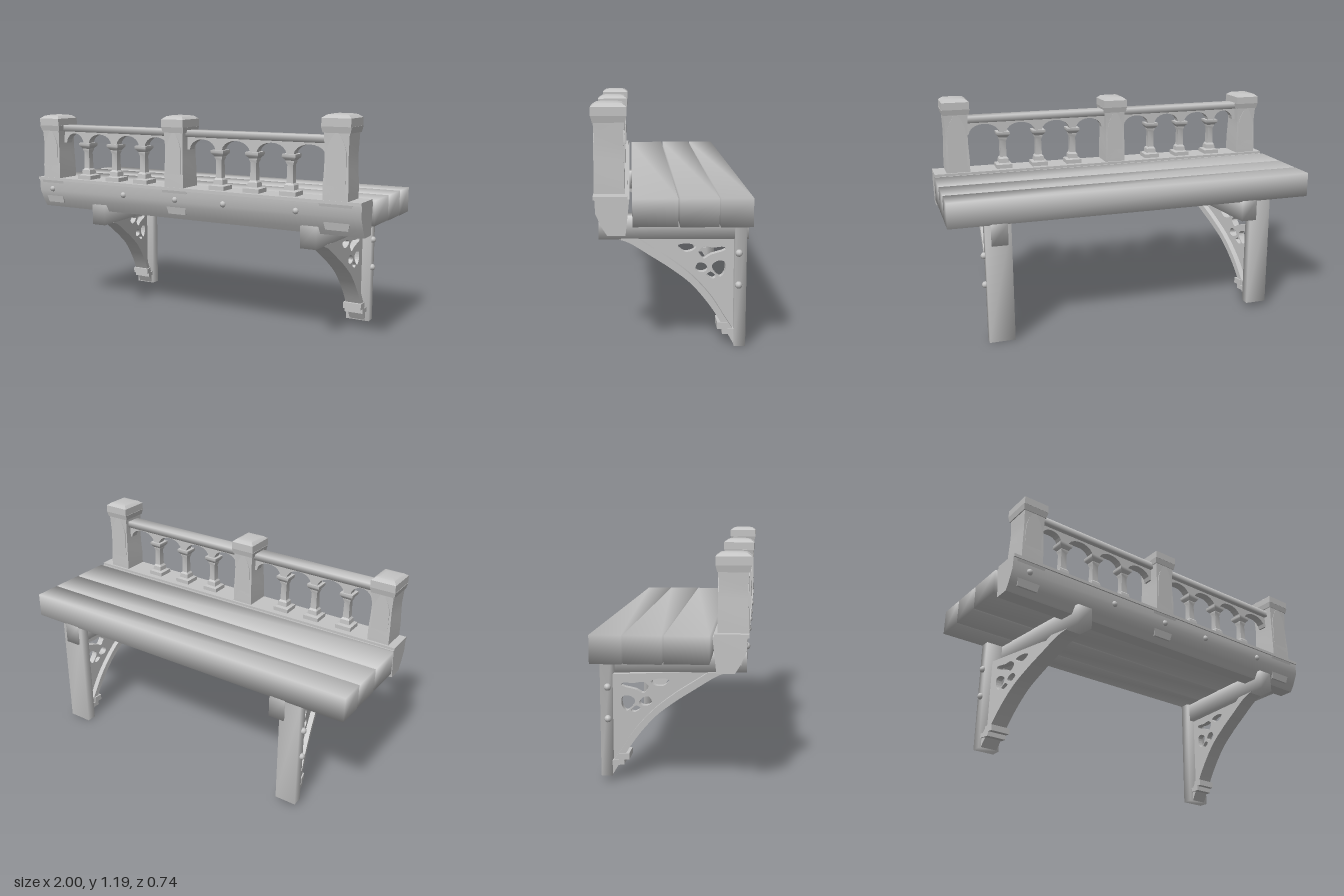
import * as THREE from 'three';
import { mergeVertices, toCreasedNormals } from 'three/addons/utils/BufferGeometryUtils.js';

const stone = new THREE.MeshStandardMaterial({ color: 0xc4c4c4 });
stone.name = 'pale grey stone';

function add(parent, name, geometry, x = 0, y = 0, z = 0) {
  const mesh = new THREE.Mesh(geometry, stone);
  mesh.name = name;
  mesh.position.set(x, y, z);
  parent.add(mesh);
  return mesh;
}

// Share corner normals so a block shades softly
function soften(geometry) {
  geometry.deleteAttribute('normal');
  geometry.deleteAttribute('uv');
  const merged = mergeVertices(geometry);
  merged.computeVertexNormals();
  return merged;
}
const softBox = (w, h, d) => soften(new THREE.BoxGeometry(w, h, d));

// Square-section turned part; profile holds [half width, height] pairs
function squareTurned(profile, widthScale = 1, depthScale = 1) {
  const points = profile.map(([r, y]) => new THREE.Vector2(r * Math.SQRT2, y));
  const g = new THREE.LatheGeometry(points, 4);
  g.rotateY(Math.PI / 4);
  g.scale(widthScale, 1, depthScale);
  return toCreasedNormals(g, 0.5);
}

// Extrude a (z, y) outline along x, centred on x = 0
function sideExtrude(shape, width) {
  const g = new THREE.ExtrudeGeometry(shape, { depth: width, bevelEnabled: false, curveSegments: 10 });
  g.rotateY(-Math.PI / 2);
  g.translate(width / 2, 0, 0);
  return g;
}
const vectors = (list) => list.map(([x, y]) => new THREE.Vector2(x, y));

// Post with waisted shaft, neck moulding, slab and low dome
function addPost(root, x, halfWidth, top) {
  const post = new THREE.Group();
  post.name = 'parapetPost';
  post.position.set(x, 0, 0.29);
  root.add(post);
  const w = halfWidth / 0.07;
  add(post, 'postShaft', squareTurned([
    [0, 0.77], [0.07, 0.77], [0.07, 0.85], [0.066, 0.93], [0.065, 1 + (top - 1.19) / 2],
    [0.069, top - 0.1], [0.07, top - 0.06], [0, top - 0.06]], w * 0.93));
  add(post, 'neckMoulding', squareTurned([
    [0, top - 0.09], [0.073, top - 0.09], [0.08, top - 0.06], [0, top - 0.06]], w * 0.96));
  add(post, 'capSlab', squareTurned([
    [0, top - 0.06], [0.081, top - 0.06], [0.081, top - 0.02], [0.06, top - 0.005],
    [0.035, top], [0, top]], w * 0.92));

  // Pointed panel on the front and back of the shaft
  const h = top - 0.08;
  const lancet = new THREE.Shape();
  lancet.moveTo(-halfWidth * 0.75, 0.78);
  lancet.lineTo(halfWidth * 0.75, 0.78);
  lancet.lineTo(halfWidth * 0.7, h - 0.1);
  lancet.quadraticCurveTo(halfWidth * 0.55, h - 0.04, 0, h);
  lancet.quadraticCurveTo(-halfWidth * 0.55, h - 0.04, -halfWidth * 0.7, h - 0.1);
  const panel = new THREE.ExtrudeGeometry(lancet, { depth: 0.006, bevelEnabled: false });
  for (const s of [-1, 1]) add(post, 'pointedPanel', panel, 0, 0, s * 0.067 - 0.003);

  // Tapered keystone plate hung on the front of the beam
  const plate = new THREE.Shape(vectors([
    [-halfWidth - 0.018, 0.775], [-halfWidth * 0.85, 0.63],
    [halfWidth * 0.85, 0.63], [halfWidth + 0.018, 0.775]]));
  const plateGeo = new THREE.ExtrudeGeometry(plate, { depth: 0.07, bevelEnabled: false });
  const p = plateGeo.attributes.position;
  for (let i = 0; i < p.count; i++) if (p.getY(i) < 0.7) p.setZ(i, p.getZ(i) - 0.03);
  plateGeo.computeVertexNormals();
  add(post, 'keystonePlate', plateGeo);
}

// Rail, scalloped arcade and balusters between two posts
function addBay(root, x0, x1, stations) {
  const bay = new THREE.Group();
  bay.name = 'balustradeBay';
  root.add(bay);
  add(bay, 'topRail', softBox(x1 - x0, 0.035, 0.085), (x0 + x1) / 2, 1.065, 0.285);
  const s = new THREE.Shape();
  s.moveTo(x1, 1.05);
  s.lineTo(x0, 1.05);
  s.lineTo(x0, 0.98);
  const ends = [x0, ...stations, x1];
  for (let i = 0; i < ends.length - 1; i++) {
    const a = ends[i] + 0.018, b = ends[i + 1] - 0.018;
    s.lineTo(a, 0.98);
    s.bezierCurveTo(a + 0.01, 1.055, b - 0.01, 1.055, b, 0.98);
  }
  s.lineTo(x1, 0.98);
  add(bay, 'archedFrieze', new THREE.ExtrudeGeometry(s, { depth: 0.045, bevelEnabled: false, curveSegments: 10 }), 0, 0, 0.262);
  for (const x of stations) {
    add(bay, 'baluster', squareTurned([
      [0, 0.77], [0.045, 0.77], [0.045, 0.8], [0.028, 0.806], [0.026, 0.83], [0.018, 0.84],
      [0.016, 0.93], [0.022, 0.945], [0.022, 0.952], [0.034, 0.966], [0.037, 0.972],
      [0.037, 0.985], [0, 0.985]]), x, 0, 0.287);
  }
}

// Iron-style support: wall leg, top arm, curved brace and pierced web
function addBracket(root, { x, foot, legWidth, skew, armFront, armBack, outer }) {
  const bracket = new THREE.Group();
  bracket.name = 'supportBracket';
  root.add(bracket);
  add(bracket, 'wallLeg', softBox(legWidth, 0.64 - foot, 0.055), x, (0.64 + foot) / 2, -0.328);

  const arm = new THREE.BoxGeometry(0.085, 0.112, 0.715);
  const bend = (g, k) => g.applyMatrix4(new THREE.Matrix4().set(1, 0, k, 0, 0, 1, 0, 0, 0, 0, 1, 0, 0, 0, 0, 1));
  bend(arm, (armFront - armBack) / 0.715);
  add(bracket, 'topArm', soften(arm), (armFront + armBack) / 2, 0.583, -0.01);

  const lean = (g) => {
    g.translate(0, -0.525, 0);
    g.scale(1, (0.525 - foot) / 0.525, 1);
    g.translate(0, 0.525, 0.3);
    bend(g, skew);
    g.translate(x, 0, -0.3);
    return g;
  };

  const brace = new THREE.Shape();
  brace.moveTo(0.27, 0.53);
  brace.splineThru(vectors([[0.2, 0.507], [0.1, 0.445], [0, 0.38], [-0.1, 0.3], [-0.2, 0.175], [-0.3, 0.005]]));
  brace.lineTo(-0.31, 0.06);
  brace.splineThru(vectors([[-0.26, 0.135], [-0.19, 0.245], [-0.1, 0.345], [0, 0.425], [0.1, 0.49], [0.16, 0.53]]));
  add(bracket, 'curvedBrace', lean(toCreasedNormals(sideExtrude(brace, 0.09), 0.6)));

  // Web pierced with leaf-shaped openings
  const web = new THREE.Shape(vectors([[0.16, 0.53], [0.05, 0.45], [-0.08, 0.35], [-0.18, 0.25],
    [-0.25, 0.14], [-0.31, 0.06], [-0.31, 0.53]]));
  const holes = [
    [[-0.03, 0.49], [-0.08, 0.5], [-0.12, 0.485], [-0.1, 0.465], [-0.06, 0.46]],
    [[-0.13, 0.46], [-0.155, 0.485], [-0.2, 0.48], [-0.255, 0.483], [-0.26, 0.47], [-0.19, 0.445], [-0.155, 0.425], [-0.14, 0.44]],
    [[-0.195, 0.39], [-0.225, 0.415], [-0.255, 0.41], [-0.257, 0.36], [-0.235, 0.335], [-0.21, 0.355]],
    [[-0.115, 0.375], [-0.13, 0.405], [-0.16, 0.4], [-0.175, 0.375], [-0.16, 0.36], [-0.13, 0.36]],
    [[-0.17, 0.345], [-0.19, 0.36], [-0.215, 0.335], [-0.2, 0.325]]];
  for (const h of holes) {
    const path = new THREE.Path();
    const curve = new THREE.CatmullRomCurve3(h.map(([a, b]) => new THREE.Vector3(a, b, 0)), true);
    path.setFromPoints(curve.getPoints(24).map((v) => new THREE.Vector2(v.x, v.y)));
    web.holes.push(path);
  }
  add(bracket, 'piercedWeb', lean(sideExtrude(web, 0.035)));

  // Clamp around the foot of the brace
  for (const [z, y, w, h, d] of [[-0.275, 0.068, 0.105, 0.026, 0.06], [-0.245, 0.098, 0.105, 0.034, 0.05]]) {
    const g = new THREE.BoxGeometry(w, h, d);
    g.translate(0, y, z);
    add(bracket, 'footClamp', lean(g));
  }

  // Bolts on the outer face of the leg
  for (const y of [0.31, 0.467]) {
    const bolt = new THREE.SphereGeometry(0.018, 8, 6);
    add(bracket, 'legBolt', bolt, x + outer * (legWidth / 2 + 0.004), y + foot * 0.3, -0.318);
  }
}

export function createModel() {
  const root = new THREE.Group();
  root.name = 'balcony';

  // Floor planks
  for (const [front, back, low] of [[0.187, -0.018, 0.64], [-0.027, -0.203, 0.637], [-0.21, -0.357, 0.635]]) {
    add(root, 'floorPlank', softBox(2, 0.768 - low, front - back), 0, (0.768 + low) / 2, (front + back) / 2);
  }

  // Front beam with a moulded face and a thin ledge
  const profile = new THREE.Shape(vectors([[0.2, 0.765], [0.218, 0.6], [0.3, 0.6], [0.325, 0.64], [0.352, 0.7], [0.355, 0.765]]));
  add(root, 'frontBeam', toCreasedNormals(sideExtrude(profile, 1.99), 0.9));
  add(root, 'beamLedge', new THREE.BoxGeometry(1.99, 0.016, 0.155), 0, 0.77, 0.285);
  for (const x of [-0.9, -0.39, -0.05, 0.245, 0.655]) {
    add(root, 'beamBolt', new THREE.SphereGeometry(0.017, 8, 6), x, 0.712, 0.35);
  }

  addPost(root, -0.895, 0.064, 1.14);
  addPost(root, -0.052, 0.063, 1.158);
  addPost(root, 0.863, 0.07, 1.19);
  addBay(root, -0.84, -0.1, [-0.68, -0.483, -0.292]);
  addBay(root, 0, 0.81, [0.193, 0.395, 0.6]);

  addBracket(root, { x: -0.71, foot: 0.03, legWidth: 0.116, skew: 0.235, armFront: -0.57, armBack: -0.64, outer: -1 });
  addBracket(root, { x: 0.75, foot: 0, legWidth: 0.135, skew: -0.05, armFront: 0.722, armBack: 0.745, outer: 1 });
  return root;
}
